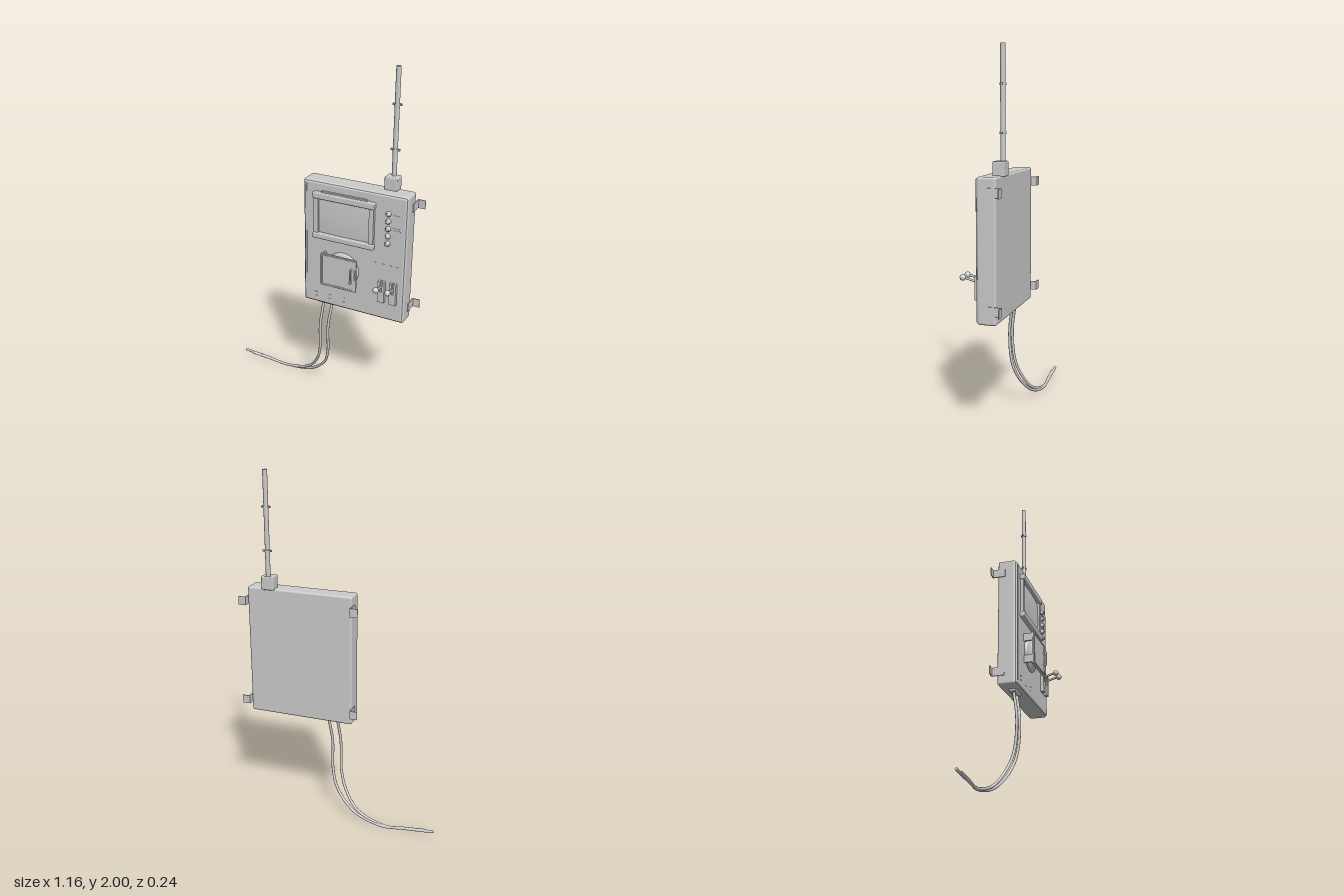
import * as THREE from 'three';
import { RoundedBoxGeometry } from 'three/addons/geometries/RoundedBoxGeometry.js';

export function createModel() {
  const root = new THREE.Group();
  const metal = new THREE.MeshStandardMaterial({ color: 0xcccccc });
  metal.name = 'lightGrey';

  const add = (name, geometry, x = 0, y = 0, z = 0) => {
    const mesh = new THREE.Mesh(geometry, metal);
    mesh.name = name;
    mesh.position.set(x, y, z);
    root.add(mesh);
    return mesh;
  };
  // Box given by its limits on each axis
  const box = (name, x0, x1, y0, y1, z0, z1) =>
    add(name, new THREE.BoxGeometry(x1 - x0, y1 - y0, z1 - z0), (x0 + x1) / 2, (y0 + y1) / 2, (z0 + z1) / 2);
  const rounded = (name, x0, x1, y0, y1, z0, z1, r) =>
    add(name, new RoundedBoxGeometry(x1 - x0, y1 - y0, z1 - z0, 3, r), (x0 + x1) / 2, (y0 + y1) / 2, (z0 + z1) / 2);
  // Turned shape whose axis points to the front; profile points are [radius, z]
  const turned = (name, profile, x, y, z, segments = 24) => {
    const g = new THREE.LatheGeometry(profile.map(p => new THREE.Vector2(...p)), segments);
    g.rotateX(Math.PI / 2);
    return add(name, g, x, y, z);
  };

  // Cabinet with a slightly raised front panel
  rounded('cabinet', -0.08, 0.534, 0.61, 1.357, -0.095, 0.007, 0.012);
  rounded('frontPanel', -0.072, 0.526, 0.618, 1.349, -0.01, 0.014, 0.008);
  box('panelBead', -0.062, -0.056, 0.635, 1.335, 0.01, 0.017);

  // Angle brackets on both sides
  for (const side of [-1, 1]) {
    for (const y of [0.685, 1.28]) {
      const x = 0.227 + side * 0.309;
      const tip = 0.227 + side * 0.35;
      box('bracketLeg', x - 0.003, x + 0.003, y - 0.024, y + 0.024, -0.125, -0.052);
      box('bracketFoot', Math.min(x, tip), Math.max(x, tip), y - 0.024, y + 0.024, -0.125, -0.12);
    }
  }

  // Antenna with its base and two clips
  rounded('antennaBase', 0.37, 0.443, 1.35, 1.427, -0.108, -0.045, 0.006);
  add('antennaMast', new THREE.CylinderGeometry(0.013, 0.013, 0.58, 16), 0.406, 1.71, -0.09);
  for (const y of [1.567, 1.805]) {
    add('antennaClip', new THREE.CylinderGeometry(0.017, 0.017, 0.012, 16), 0.406, y, -0.09);
    box('antennaClipEars', 0.381, 0.431, y - 0.005, y + 0.005, -0.096, -0.086);
  }

  // Display frame with a bulging screen
  rounded('screenTopBar', -0.01, 0.354, 1.265, 1.3, 0.005, 0.042, 0.006);
  rounded('screenBottomBar', -0.01, 0.354, 1.03, 1.062, 0.005, 0.042, 0.006);
  box('screenLeftBar', -0.006, 0.02, 1.06, 1.268, 0.005, 0.032);
  box('screenRightBar', 0.323, 0.35, 1.06, 1.268, 0.005, 0.032);
  box('screenHood', 0.037, 0.307, 1.298, 1.308, 0.005, 0.025);
  const screen = new THREE.PlaneGeometry(0.304, 0.206, 16, 12);
  const p = screen.attributes.position;
  for (let i = 0; i < p.count; i++) {
    const u = p.getX(i) / 0.152, v = p.getY(i) / 0.103;
    p.setZ(i, 0.008 * (1 - u * u * 0.5 - v * v * 0.5));
  }
  screen.computeVertexNormals();
  add('screen', screen, 0.1715, 1.163, 0.017);

  // Column of round buttons
  for (let i = 0; i < 5; i++) {
    turned('button', [[0.015, 0], [0.015, 0.008], [0.011, 0.009], [0.011, 0.017], [0.008, 0.02], [0, 0.021]],
      0.428, 1.251 - i * 0.0427, 0.012, 16);
  }
  for (const y of [1.245, 1.172, 1.16]) box('buttonMark', 0.452, 0.5, y - 0.003, y + 0.003, 0.01, 0.016);

  // Dial housing behind a hinged square cover
  turned('dialHousing', [[0.098, 0], [0.098, 0.014], [0.09, 0.02], [0.066, 0.026], [0.06, 0.039], [0.05, 0.044], [0, 0.046]],
    0.167, 0.865, 0.011, 40);
  rounded('dialCover', 0.058, 0.275, 0.768, 0.964, 0.06, 0.072, 0.004);
  for (const x of [0.067, 0.263]) box('coverTrim', x - 0.003, x + 0.003, 0.778, 0.954, 0.07, 0.075);
  for (const y of [0.778, 0.954]) box('coverTrim', 0.064, 0.266, y - 0.003, y + 0.003, 0.07, 0.075);
  for (const y of [0.8, 0.93]) box('coverHinge', 0.056, 0.066, y - 0.022, y + 0.022, 0.01, 0.066);
  box('coverHandle', 0.243, 0.251, 0.825, 0.91, 0.084, 0.093);
  for (const y of [0.829, 0.906]) box('coverHandlePost', 0.243, 0.251, y - 0.004, y + 0.004, 0.07, 0.086);

  // Ball-ended levers on slotted blocks
  for (const x of [0.407, 0.475]) {
    for (const s of [-1, 1]) box('leverRail', x + s * 0.0125 - 0.0065, x + s * 0.0125 + 0.0065, 0.726, 0.852, 0.01, 0.034);
    box('leverBlock', x - 0.008, x + 0.008, 0.726, 0.79, 0.01, 0.034);
    box('leverSlotFloor', x - 0.008, x + 0.008, 0.79, 0.852, 0.01, 0.02);
    const rod = add('leverRod', new THREE.CylinderGeometry(0.006, 0.006, 0.09, 12), x, 0.827, 0.06);
    rod.rotation.x = 1.3;
    add('leverBall', new THREE.SphereGeometry(0.0165, 20, 14), x, 0.836, 0.103);
  }

  // Small raised marks
  for (let i = 0; i < 4; i++) box('leverMark', 0.36 + i * 0.04, 0.375 + i * 0.04, 0.949, 0.954, 0.01, 0.016);
  for (let i = 0; i < 3; i++) {
    for (const y of [0.655, 0.68]) box('lowerMark', -0.006 + i * 0.088, 0.008 + i * 0.088, y - 0.002, y + 0.002, 0.01, 0.016);
  }

  // Cable gland and two trailing cables
  rounded('cableGland', 0, 0.1, 0.597, 0.62, -0.054, -0.015, 0.005);
  const paths = [
    [[0.026, 0.605, -0.035], [0.013, 0.45, -0.013], [0.005, 0.27, -0.024], [-0.033, 0.165, -0.052],
      [-0.12, 0.065, -0.09], [-0.29, 0.012, -0.113], [-0.42, 0.022, -0.115], [-0.58, 0.034, -0.109]],
    [[0.08, 0.605, -0.035], [0.064, 0.45, -0.013], [0.058, 0.27, -0.024], [0.02, 0.165, -0.052],
      [-0.1, 0.055, -0.094], [-0.28, 0.01, -0.117], [-0.4, 0.02, -0.111], [-0.525, 0.03, -0.105]],
  ];
  for (const points of paths) {
    const curve = new THREE.CatmullRomCurve3(points.map(q => new THREE.Vector3(...q)));
    add('cable', new THREE.TubeGeometry(curve, 64, 0.008, 10));
    const end = add('cableEnd', new THREE.CircleGeometry(0.008, 10), ...points[points.length - 1]);
    end.rotation.y = -Math.PI / 2;
  }
  return root;
}
